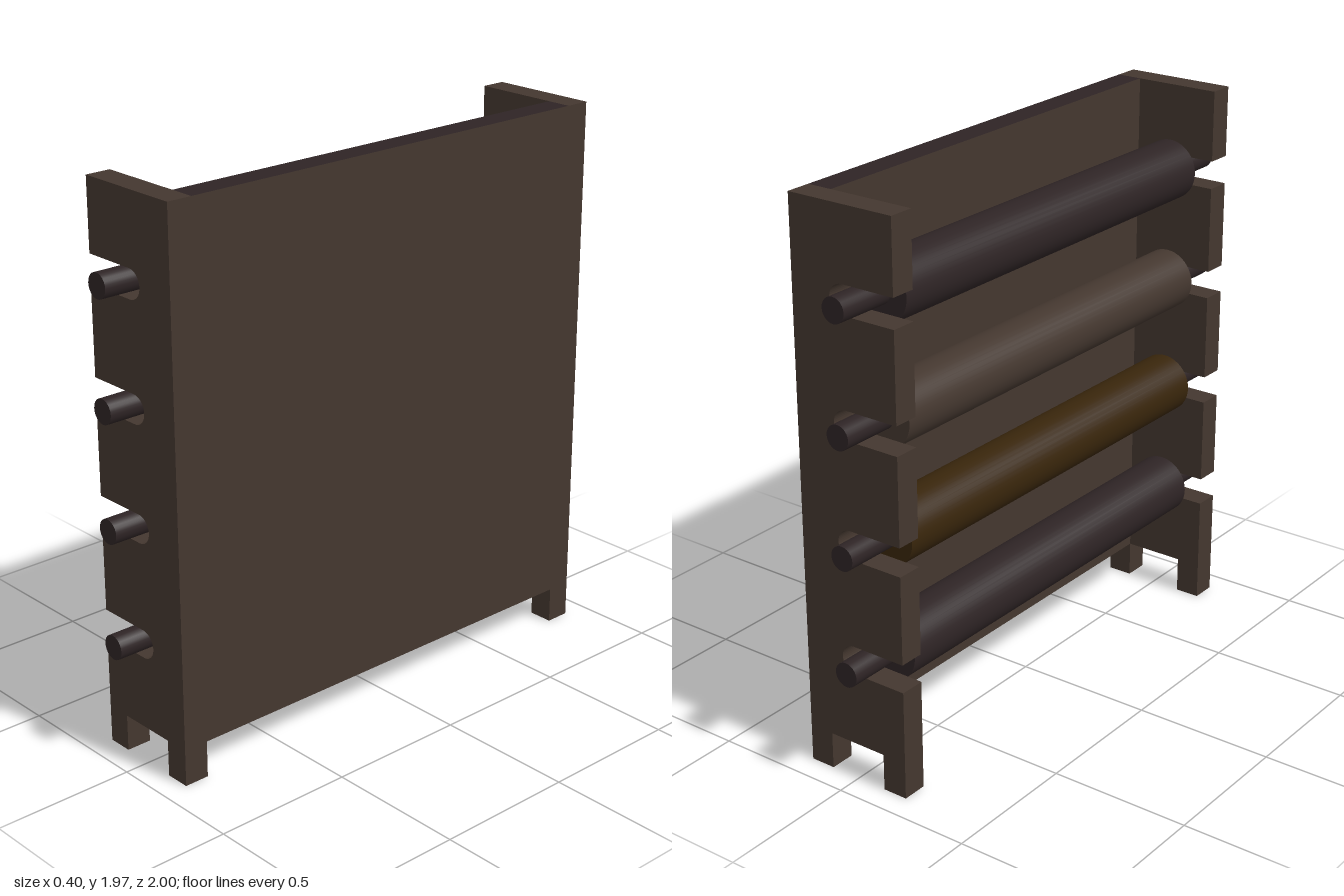
import * as THREE from 'three';

const HEIGHT = 1.965;
const SLOT_Y = [0.44, 0.85, 1.257, 1.665];

// End panel outline: two feet below, four round-ended slots open to -x
function endPanelGeometry() {
  const s = new THREE.Shape();
  s.moveTo(-0.2, 0);
  s.lineTo(-0.11, 0);
  s.lineTo(-0.11, 0.13);
  s.lineTo(0.11, 0.13);
  s.lineTo(0.11, 0);
  s.lineTo(0.2, 0);
  s.lineTo(0.2, HEIGHT);
  s.lineTo(-0.2, HEIGHT);
  for (const y of [...SLOT_Y].reverse()) {
    s.lineTo(-0.2, y + 0.05);
    s.lineTo(0, y + 0.05);
    s.absarc(0, y, 0.05, Math.PI / 2, -Math.PI / 2, true);
    s.lineTo(-0.2, y - 0.05);
  }
  s.closePath();
  return new THREE.ExtrudeGeometry(s, { depth: 0.09, bevelEnabled: false, curveSegments: 12 });
}

export function createModel() {
  const root = new THREE.Group();
  root.name = 'rollRack';

  const material = (name, color) => {
    const m = new THREE.MeshStandardMaterial({ color });
    m.name = name;
    return m;
  };
  const brown = material('brownWood', 0x44372f);
  const dark = material('darkWood', 0x2e2425);
  const amber = material('amberBrown', 0x38250b);

  const add = (name, geometry, mat, x, y, z, parent = root) => {
    const mesh = new THREE.Mesh(geometry, mat);
    mesh.name = name;
    mesh.position.set(x, y, z);
    parent.add(mesh);
    return mesh;
  };

  // Slotted end panels
  const panel = endPanelGeometry();
  add('frontEndPanel', panel, brown, 0, 0, 0.82);
  add('backEndPanel', panel, brown, 0, 0, -0.91);

  // Wall joining the end panels, with a dark top edge
  const wall = new THREE.BoxGeometry(0.09, HEIGHT - 0.13, 1.64);
  add('wall', wall, [brown, brown, dark, brown, brown, brown], 0.155, (HEIGHT + 0.13) / 2, 0);

  // Rolls on axles that stick out through the slots
  const roll = new THREE.CylinderGeometry(0.107, 0.107, 1.58, 40).rotateX(Math.PI / 2);
  const axle = new THREE.CylinderGeometry(0.043, 0.043, 2, 24).rotateX(Math.PI / 2);
  const rollColors = [dark, amber, brown, dark];
  SLOT_Y.forEach((y, i) => {
    const set = new THREE.Group();
    set.name = `rollAndAxle${i + 1}`;
    add('roll', roll, rollColors[i], -0.043, y + 0.003, 0, set);
    add('axle', axle, dark, -0.043, y + 0.003, 0, set);
    root.add(set);
  });

  return root;
}
